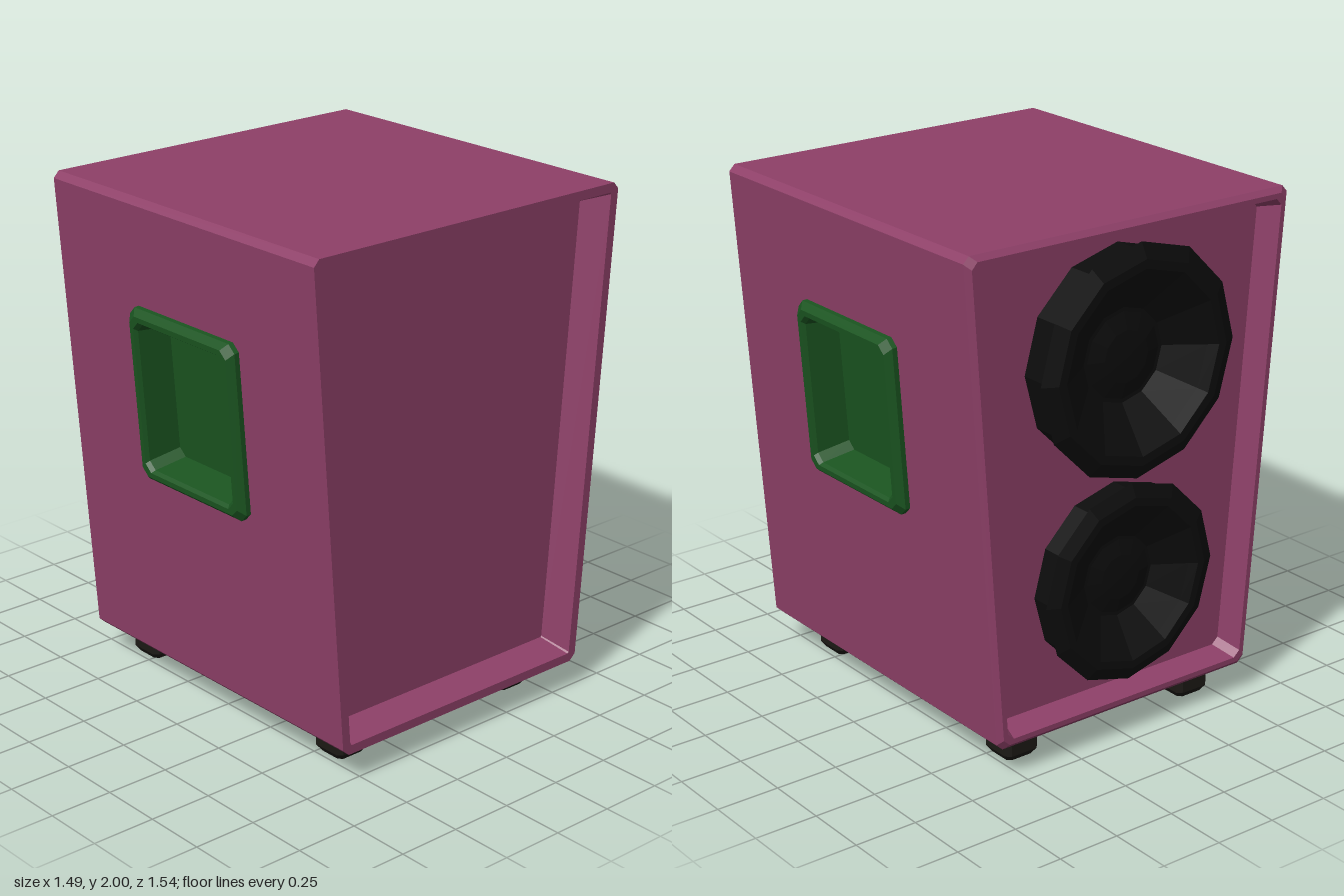
import * as THREE from 'three';

const paint = (color) => new THREE.MeshStandardMaterial({ color, flatShading: true });
const shellPaint = paint(0x8e4068);
const handlePaint = paint(0x1a5420);
const conePaint = paint(0x0c0c0c);
const footPaint = paint(0x1c1915);

const BOTTOM = 0.12, TOP = 2, FRONT = 0.77, BACK = -0.69, SLOPE = 0.073;
const halfWidth = (y) => 0.595 + SLOPE * (y - BOTTOM);

// Skin between loops of equal length, from the front cap outward and back.
// skip(ring, segment) leaves an opening.
function loft(loops, capEnd, skip = () => false) {
  const pos = [];
  const tri = (...pts) => pts.forEach((p) => pos.push(...p));
  const n = loops[0].length;
  const cap = (l) => { for (let i = 1; i < n - 1; i++) tri(l[0], l[i], l[i + 1]); };
  cap(loops[0]);
  for (let r = 0; r < loops.length - 1; r++) {
    const a = loops[r], b = loops[r + 1];
    for (let i = 0; i < n; i++) {
      if (skip(r, i)) continue;
      const j = (i + 1) % n;
      tri(a[i], b[i], b[j]);
      tri(a[i], b[j], a[j]);
    }
  }
  if (capEnd) cap([...loops[loops.length - 1]].reverse());
  const g = new THREE.BufferGeometry();
  g.setAttribute('position', new THREE.Float32BufferAttribute(pos, 3));
  g.computeVertexNormals();
  return g;
}

// Right half of an outline (bottom to top) mirrored into a closed loop
const mirrored = (half, z) => [
  ...half.map(([x, y]) => [x, y, z]),
  ...[...half].reverse().map(([x, y]) => [-x, y, z]),
];

// Tapered cabinet outline with cut corners
function cabinetLoop(inset, z, c) {
  const y0 = BOTTOM + inset, y1 = TOP - inset;
  const w = (y) => halfWidth(y) - inset;
  return mirrored([[w(y0) - c, y0], [w(y0 + c), y0 + c], [w(y1 - c), y1 - c], [w(y1) - c, y1]], z);
}

// Rectangle with cut corners
const rectLoop = (w, h, z, c) =>
  mirrored([[w - c, -h], [w, -h + c], [w, h - c], [w - c, h]], z);

function add(parent, name, geometry, material) {
  const mesh = new THREE.Mesh(geometry, material);
  mesh.name = name;
  parent.add(mesh);
  return mesh;
}

export function createModel() {
  const model = new THREE.Group();
  model.name = 'speakerCabinet';

  // Cabinet shell with recessed front and back; the two sides stay open here
  add(model, 'cabinetShell', loft([
    cabinetLoop(0.078, FRONT - 0.11, 0.004),
    cabinetLoop(0.035, FRONT, 0.006),
    cabinetLoop(0, FRONT, 0.025),
    cabinetLoop(0, BACK, 0.025),
    cabinetLoop(0.02, BACK - 0.02, 0.025),
    cabinetLoop(0.04, BACK - 0.02, 0.025),
    cabinetLoop(0.065, -0.61, 0.025),
  ], true, (ring, seg) => ring === 2 && (seg === 1 || seg === 5)), shellPaint);

  // Side walls with a cut-out and a recessed handle, leaning with the taper
  const lean = Math.atan(SLOPE), midY = 1.25, midZ = (FRONT + BACK) / 2;
  const wallY = (y) => (y - midY) / Math.cos(lean);
  const wallW = (FRONT - BACK) / 2;
  const rect = (S, w, y0, y1) =>
    new S([[-w, y0], [w, y0], [w, y1], [-w, y1]].map(([x, y]) => new THREE.Vector2(x, y)));
  const wallShape = rect(THREE.Shape, wallW, wallY(BOTTOM + 0.025), wallY(TOP - 0.025));
  wallShape.holes.push(rect(THREE.Path, 0.265, -0.31, 0.31));
  const wallGeo = new THREE.ShapeGeometry(wallShape);
  const handleGeo = loft([
    rectLoop(0.228, 0.272, -0.1, 0.03),
    rectLoop(0.245, 0.288, 0.03, 0.03),
    rectLoop(0.255, 0.298, 0.044, 0.03),
    rectLoop(0.275, 0.318, 0.044, 0.03),
    rectLoop(0.298, 0.341, 0.02, 0.03),
    rectLoop(0.298, 0.341, -0.005, 0.03),
  ], false);
  for (const [s, label] of [[1, 'left'], [-1, 'right']]) {
    const side = new THREE.Group();
    side.name = label + 'Side';
    side.position.set(s * halfWidth(midY), midY, midZ);
    side.rotation.set(lean, s * Math.PI / 2, 0, 'YXZ');
    add(side, label + 'Wall', wallGeo, shellPaint);
    add(side, label + 'Handle', handleGeo, handlePaint);
    model.add(side);
  }

  // Drivers on the back panel: rim, surround, cone and dust cap
  const driverGeo = new THREE.LatheGeometry([
    [0.41, 0], [0.41, 0.105], [0.442, 0.13], [0.385, 0.16], [0.35, 0.16], [0.315, 0.135],
    [0.18, 0.04], [0.165, 0.04], [0.1, 0.06], [0, 0.068],
  ].map(([r, h]) => new THREE.Vector2(r, h)), 12);
  for (const [name, y, size, depth] of [['upperDriver', 1.49, 1, 1], ['lowerDriver', 0.63, 0.886, 0.79]]) {
    const driver = add(model, name, driverGeo, conePaint);
    driver.position.set(0, y, -0.61);
    driver.rotation.x = -Math.PI / 2;
    driver.scale.set(size, depth, size);
  }

  // Four feet
  const footGeo = loft([
    rectLoop(0.058, 0.058, BOTTOM, 0.015),
    rectLoop(0.075, 0.075, BOTTOM - 0.025, 0.018),
    rectLoop(0.075, 0.075, 0, 0.018),
  ], true);
  for (const x of [-0.415, 0.415]) for (const z of [0.557, -0.543]) {
    const foot = add(model, 'foot', footGeo, footPaint);
    foot.position.set(x, BOTTOM, z);
    foot.rotation.x = Math.PI / 2;
  }
  return model;
}
